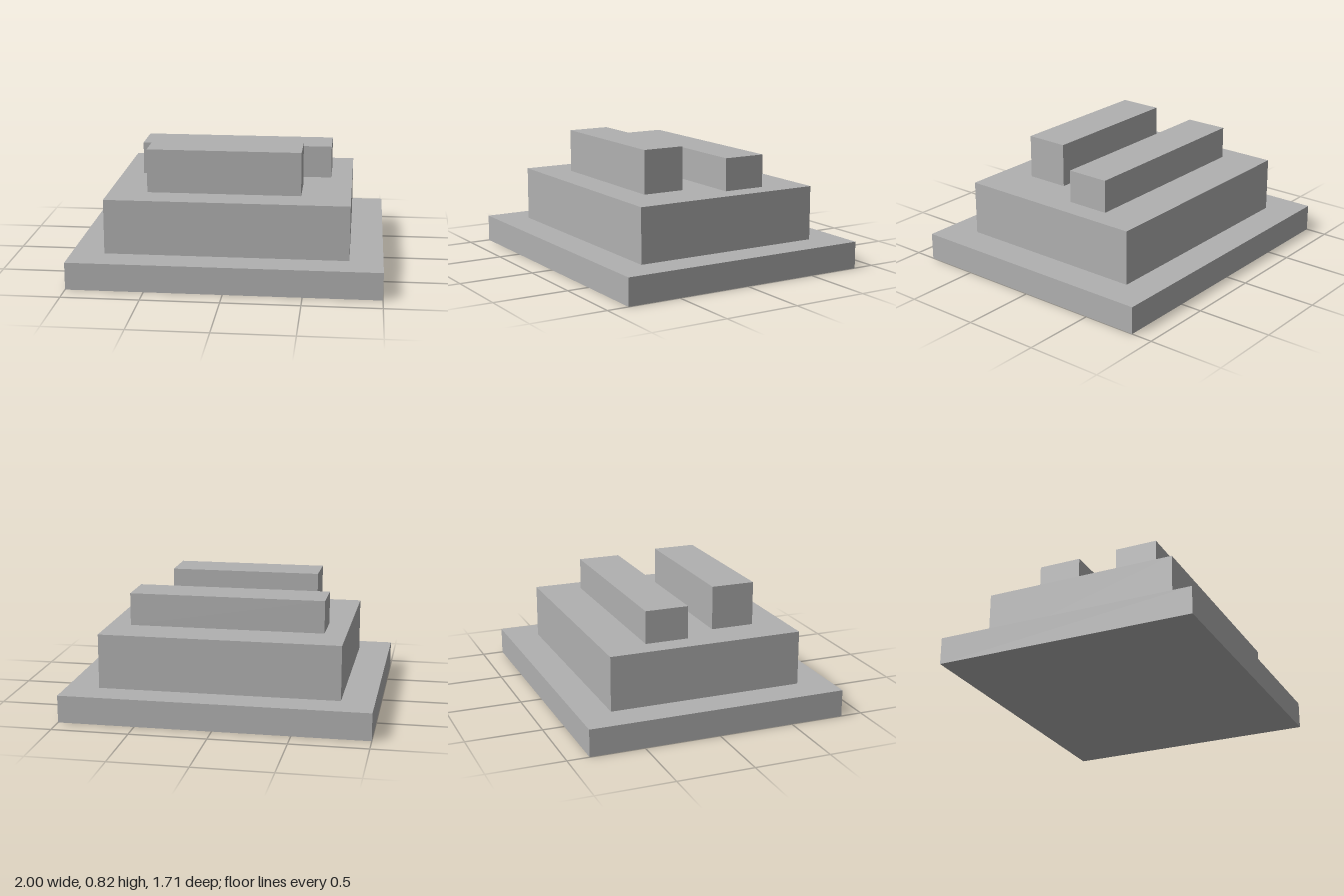
import * as THREE from 'three';

const UNIT = 1 / 14; // the model is laid out on a grid, 28 cells wide

export function createModel() {
  const group = new THREE.Group();
  group.name = 'steppedBlock';

  const grey = new THREE.MeshStandardMaterial({ color: 0xb0b0b0 });
  grey.name = 'grey';

  // Adds a box resting on the given height; all values in grid cells
  function addBlock(name, [width, height, depth], [x, bottom, z]) {
    const geometry = new THREE.BoxGeometry(width * UNIT, height * UNIT, depth * UNIT);
    const mesh = new THREE.Mesh(geometry, grey);
    mesh.name = name;
    mesh.position.set(x * UNIT, (bottom + height / 2) * UNIT, z * UNIT);
    group.add(mesh);
  }

  // Two stacked tiers
  addBlock('basePlate', [28, 2.5, 24], [0, 0, 0]);
  addBlock('upperTier', [22, 5, 18], [0, 2.5, 0]);

  // Two bars on top: a long low one behind, a short tall one in front, set slightly to the right
  addBlock('backBar', [18, 3, 4], [0, 7.5, -3]);
  addBlock('frontBar', [14, 4, 4], [-0.5, 7.5, 4]);

  return group;
}
